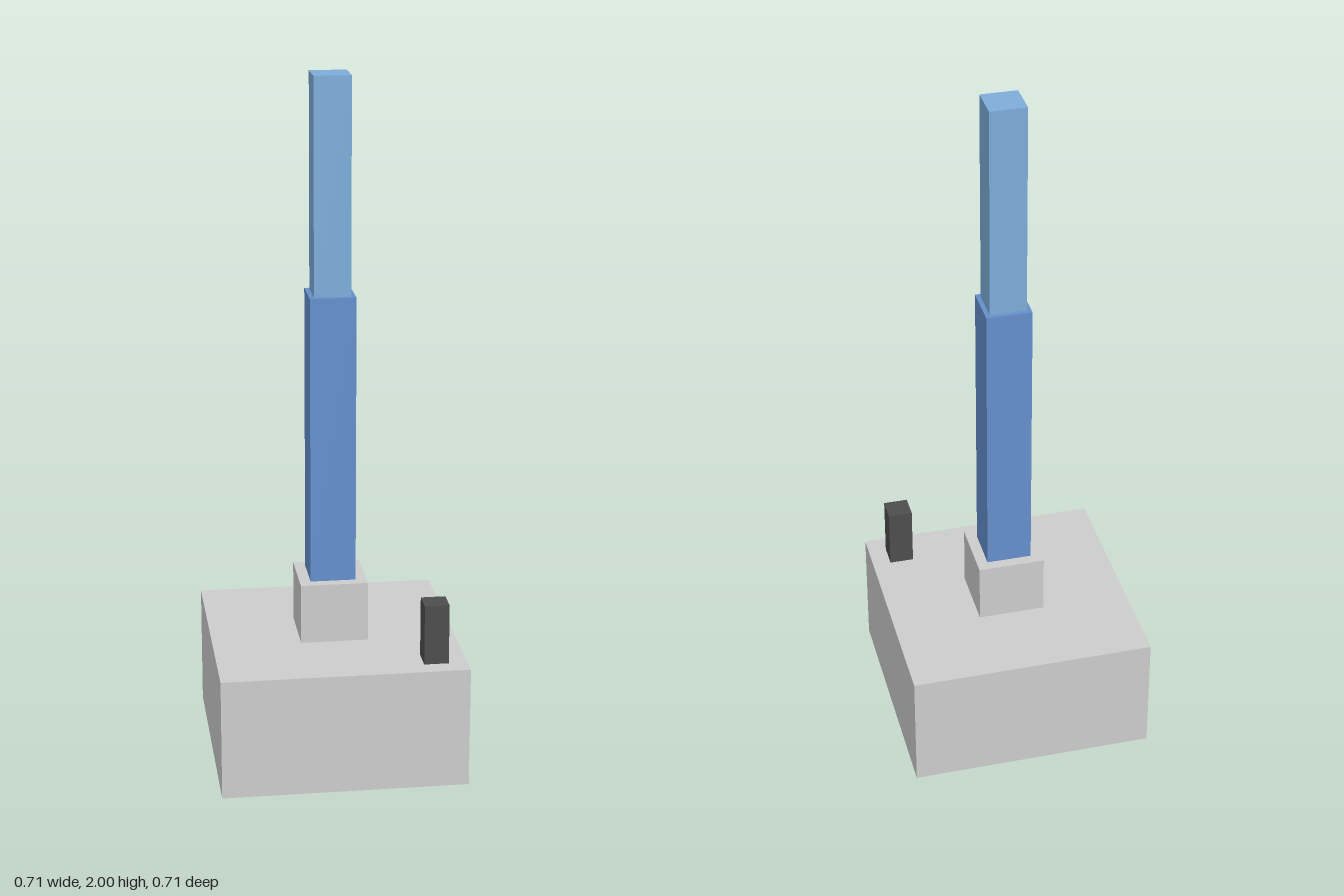
import * as THREE from 'three';

export function createModel() {
  const group = new THREE.Group();

  // Adds a square block of the given width standing between two heights
  function block(name, width, bottom, top, color, x = 0, z = 0) {
    const mesh = new THREE.Mesh(
      new THREE.BoxGeometry(width, top - bottom, width),
      new THREE.MeshStandardMaterial({ color, flatShading: true })
    );
    mesh.name = name;
    mesh.position.set(x, (bottom + top) / 2, z);
    group.add(mesh);
  }

  const baseTop = 0.356, collarTop = 0.533, lowerTop = 1.378;

  // Base and collar
  block('base', 0.711, 0, baseTop, 0xcccccc);
  block('collar', 0.196, baseTop, collarTop, 0xcccccc);

  // Stepped column
  block('lowerColumn', 0.132, collarTop, lowerTop, 0x648fcb);
  block('upperColumn', 0.106, lowerTop, 2, 0x7dacd9);

  // Small post on the front left corner of the base
  block('cornerPost', 0.071, baseTop, collarTop, 0x4d4d4d, 0.266, 0.266);

  return group;
}
